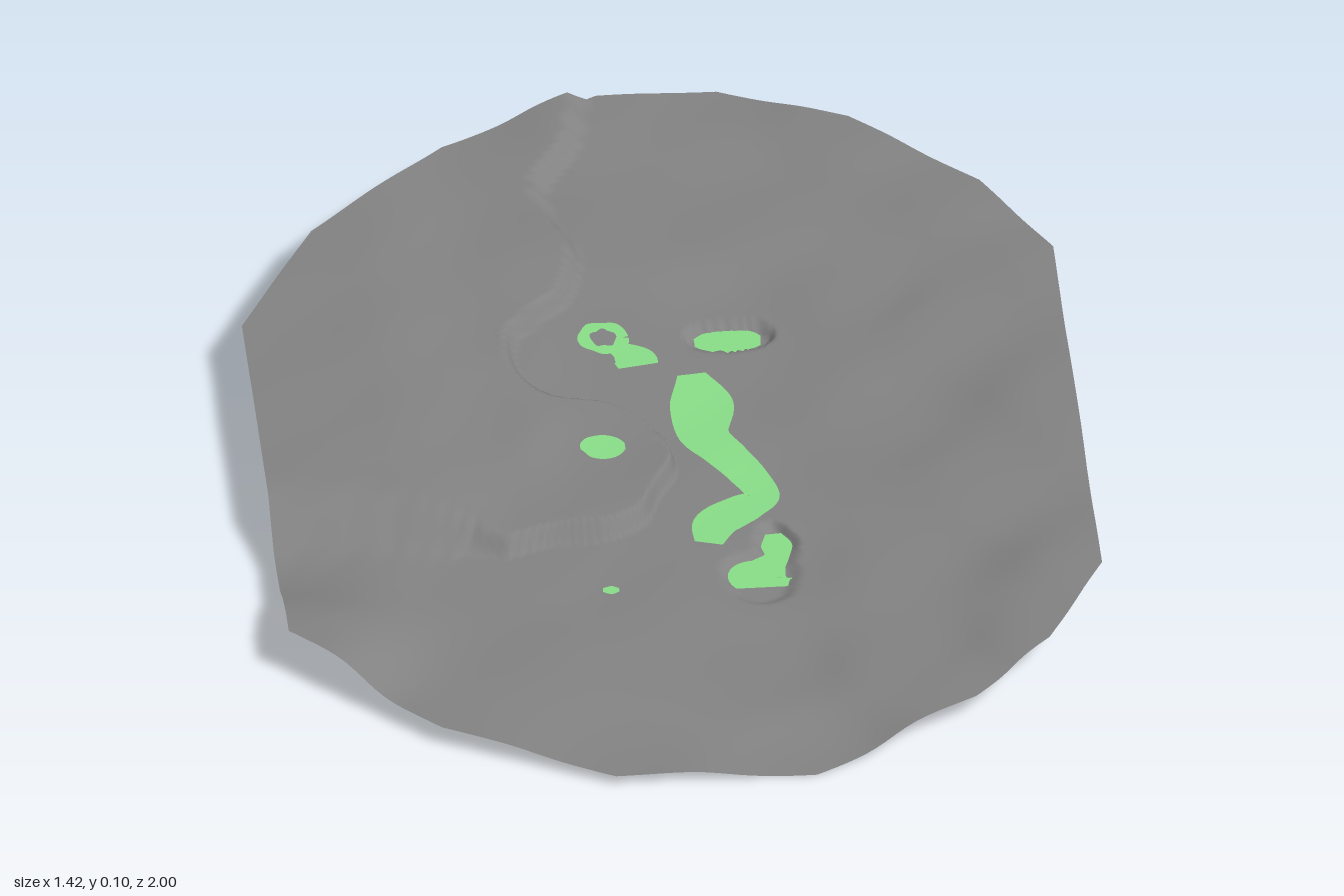
import * as THREE from 'three';

const rock = new THREE.MeshStandardMaterial({ color: 0x828282, side: THREE.DoubleSide });
rock.name = 'rock grey';
const water = new THREE.MeshStandardMaterial({ color: 0x88dd88, side: THREE.DoubleSide });
water.name = 'pool green';

// Rim of the terrain, [x, z]
const rim = [[-0.04, -1], [0.17, -1], [0.39, -0.89], [0.6, -0.68], [0.71, -0.47], [0.71, 0.5], [0.6, 0.71],
  [0.46, 0.85], [0.17, 1], [-0.18, 1], [-0.47, 0.85], [-0.715, 0.6], [-0.715, -0.33], [-0.57, -0.61], [-0.32, -0.86]];

// Height samples, [x, z, y], before the ledge is added
const spots = [
  [-0.04, -1, .085], [.17, -1, .083], [.39, -.89, .093], [.6, -.68, .088], [.71, -.47, .085], [.71, 0, .09],
  [.71, .5, .085], [.6, .71, .078], [.46, .85, .056], [.17, 1, .012], [-.18, 1, .03], [-.47, .85, .045],
  [-.715, .6, .095], [-.715, .34, .053], [-.715, .1, .057], [-.715, -.33, .055], [-.57, -.61, .055], [-.32, -.86, .06],
  [.06, -.1, .046], [.06, .1, .046], [.12, .25, .046], [.12, .42, .044], [.13, -.3, .048], [-.08, -.3, .05],
  [-.12, .06, .042], [-.3, 0, .058], [-.3, -.3, .062], [-.4, -.5, .06], [-.25, .42, .047], [-.14, .5, .043],
  [.1, .7, .033], [-.3, .65, .05], [-.05, -.6, .066], [.2, -.65, .07], [.38, -.4, .064], [.38, 0, .055],
  [.38, .4, .055], [.52, .2, .073], [.52, -.3, .074], [.35, .68, .05]];

// Winding ledge, [x, z]
const ledge = new THREE.CatmullRomCurve3([[-.07, -1.05], [-.08, -.94], [-.1, -.85], [-.16, -.75], [-.16, -.66], [-.12, -.54],
  [-.15, -.42], [-.2, -.36], [-.25, -.29], [-.25, -.19], [-.2, -.11], [-.1, -.08], [-.03, -.01], [0, .09], [-.04, .18],
  [-.07, .25], [-.13, .29], [-.23, .3], [-.31, .33]].map(([x, z]) => new THREE.Vector3(x, 0, z)))
  .getPoints(100).map(p => [p.x, p.z]);
const fold = [...ledge, [-.5, .26], [-.85, .24]];
const plateau = [...fold, [-.85, -1.2], [-.07, -1.2]];

// Water courses, [x, z, half width]
const river = [[.055, -.185, .025], [.065, -.1, .055], [.06, 0, .045], [.09, .06, .04], [.125, .13, .035],
  [.145, .2, .03], [.11, .23, .04], [.06, .27, .042], [.04, .33, .025]];
const backPool = [[.07, -.3, .012], [.09, -.3, .028], [.13, -.298, .034], [.165, -.3, .03], [.185, -.298, .015]];
const frontPool = [[.155, .295, .014], [.158, .33, .027], [.155, .365, .022], [.14, .39, .032], [.122, .42, .056], [.122, .457, .045]];
const sidePool = [[-.16, .057, .008], [-.145, .057, .028], [-.12, .06, .036], [-.095, .06, .027], [-.082, .06, .01]];
const smallPool = [[-.155, .455, .006], [-.14, .457, .012], [-.127, .457, .005]];
const spill = [[-.078, -.275, .012], [-.055, -.26, .028], [-.04, -.24, .038], [-.035, -.216, .036]];
const ring = Array.from({ length: 13 }, (_, i) => {
  const a = i / 12 * Math.PI * 2;
  return [-.088 + .034 * Math.cos(a), -.305 + .036 * Math.sin(a), .011 + .003 * Math.sin(i * 2.6)];
});

function segDist(x, z, a, b) {
  const dx = b[0] - a[0], dz = b[1] - a[1];
  const t = Math.min(1, Math.max(0, ((x - a[0]) * dx + (z - a[1]) * dz) / (dx * dx + dz * dz)));
  return [Math.hypot(x - a[0] - t * dx, z - a[1] - t * dz), t];
}

function inside(x, z, poly) {
  let hit = false;
  poly.forEach((a, i) => {
    const b = poly[(i + 1) % poly.length];
    if ((a[1] > z) !== (b[1] > z) && x < a[0] + (z - a[1]) / (b[1] - a[1]) * (b[0] - a[0])) hit = !hit;
  });
  return hit;
}

// Terrain height: blended samples, plus the ledge, minus the sunken pools
function height(x, z) {
  let sum = 0, total = 0;
  for (const [sx, sz, sy] of spots) {
    const w = 1 / ((x - sx) ** 2 + (z - sz) ** 2 + .006) ** 2;
    sum += w * sy; total += w;
  }
  let y = sum / total + .0015 * Math.sin(x * 19 + z * 5) * Math.sin(z * 17);
  let d = 9;
  for (let i = 0; i < fold.length - 1; i++) d = Math.min(d, segDist(x, z, fold[i], fold[i + 1])[0]);
  const west = THREE.MathUtils.smoothstep(-x, .28, .5);
  const width = .007 + .045 * west;
  const s = inside(x, z, plateau) ? d : -d;
  y += (.03 + .015 * west) * THREE.MathUtils.smoothstep(s, -width, width);
  for (const pool of [backPool, frontPool]) {
    let gap = 9;
    for (let i = 0; i < pool.length - 1; i++) {
      const [dist, t] = segDist(x, z, pool[i], pool[i + 1]);
      gap = Math.min(gap, dist - THREE.MathUtils.lerp(pool[i][2], pool[i + 1][2], t));
    }
    y = THREE.MathUtils.lerp(.033, y, THREE.MathUtils.smoothstep(gap, 0, .012));
  }
  return y;
}

// Surface from a rows x cols lattice of points
function lattice(rows, cols, point) {
  const pos = [], index = [];
  for (let r = 0; r <= rows; r++) for (let c = 0; c <= cols; c++) pos.push(...point(r, c));
  for (let r = 0; r < rows; r++) for (let c = 0; c < cols; c++) {
    const a = r * (cols + 1) + c, b = a + cols + 1;
    index.push(a, a + 1, b, b, a + 1, b + 1);
  }
  const g = new THREE.BufferGeometry();
  g.setAttribute('position', new THREE.Float32BufferAttribute(pos, 3));
  g.setIndex(index);
  g.computeVertexNormals();
  return g;
}

// Strip of water along a path; a fixed level makes it flat
function strip(path, lift, level) {
  const curve = new THREE.CatmullRomCurve3(path.map(([x, z, w]) => new THREE.Vector3(x, w, z)));
  const rows = path.length * 6, cols = 8;
  return lattice(rows, cols, (r, c) => {
    const p = curve.getPoint(r / rows), t = curve.getTangent(r / rows);
    const len = Math.hypot(t.x, t.z) || 1, k = (c / cols * 2 - 1) * p.y;
    const x = p.x + t.z / len * k, z = p.z - t.x / len * k;
    return [x, level ?? height(x, z) + lift, z];
  });
}

export function createModel() {
  const group = new THREE.Group();
  const add = (name, geometry, material) => {
    const mesh = new THREE.Mesh(geometry, material);
    mesh.name = name;
    group.add(mesh);
    return mesh;
  };

  // Ground: rings of points spreading from the middle to the rim
  const per = 16, count = rim.length * per;
  add('terrain', lattice(90, count, (r, c) => {
    const i = Math.floor(c / per) % rim.length, f = (c % per) / per, t = Math.max(r / 90, .0005);
    const a = rim[i], b = rim[(i + 1) % rim.length];
    const x = t * (a[0] + (b[0] - a[0]) * f), z = t * (a[1] + (b[1] - a[1]) * f);
    return [x, height(x, z), z];
  }).scale(1, 1, 1), rock);
  // Flip so the upper side is the front
  const ground = group.children[0].geometry;
  ground.setIndex(Array.from(ground.index.array).reverse());
  ground.computeVertexNormals();

  // Water showing on the ground and on its underside
  const courses = { river, sidePool, smallPool, spill, ringPool: ring };
  for (const [name, path] of Object.entries(courses)) {
    add(name, strip(path, .004), water);
    if (name !== 'smallPool') add(name + 'Underside', strip(path, -.004), water);
  }
  add('backPool', strip(backPool, 0, .037), water);
  add('frontPool', strip(frontPool, 0, .037), water);

  // Flat sheets beneath the sunken pools
  for (const [name, x, z, w, d] of [['backPoolSheet', .128, -.298, .15, .1], ['frontPoolSheet', .124, .385, .16, .2]]) {
    const sheet = add(name, new THREE.PlaneGeometry(w, d).rotateX(-Math.PI / 2), water);
    sheet.position.set(x, .029, z);
  }
  return group;
}
